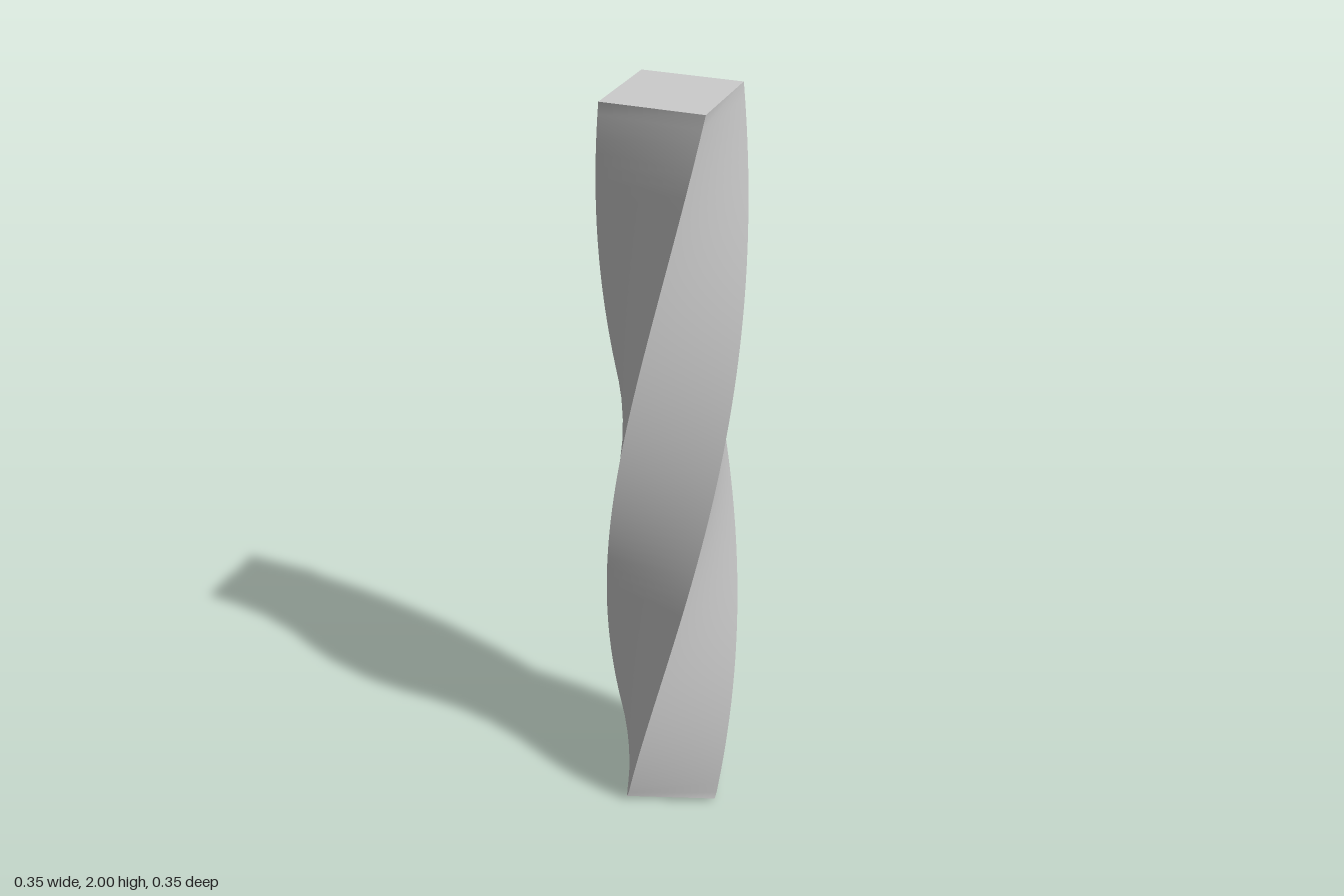
import * as THREE from 'three';

const HEIGHT = 2, SIDE = 0.2475, STEPS = 64;
const TOP_ANGLE = THREE.MathUtils.degToRad(-13);
const TWIST_PER_UNIT = THREE.MathUtils.degToRad(80.5);

export function createModel() {
  const group = new THREE.Group();
  group.name = 'twistedColumn';

  // Square bar, cut into many layers and turned steadily along its height
  const geometry = new THREE.BoxGeometry(SIDE, HEIGHT, SIDE, 1, STEPS, 1);
  geometry.translate(0, HEIGHT / 2, 0);
  const axis = new THREE.Vector3(0, 1, 0);
  const position = geometry.attributes.position;
  const p = new THREE.Vector3();
  for (let i = 0; i < position.count; i++) {
    p.fromBufferAttribute(position, i);
    p.applyAxisAngle(axis, TOP_ANGLE + TWIST_PER_UNIT * (p.y - HEIGHT));
    // Foot is cut at a slight slant, higher at the front
    if (p.y < 0.001) p.y = 0.05 * (p.z + 0.136);
    position.setXYZ(i, p.x, p.y, p.z);
  }
  // Sides do not share vertices, so each is smooth and the corners stay sharp
  geometry.computeVertexNormals();

  const bar = new THREE.Mesh(geometry, new THREE.MeshStandardMaterial({ color: 0xcccccc }));
  bar.name = 'twistedBar';
  group.add(bar);
  return group;
}
